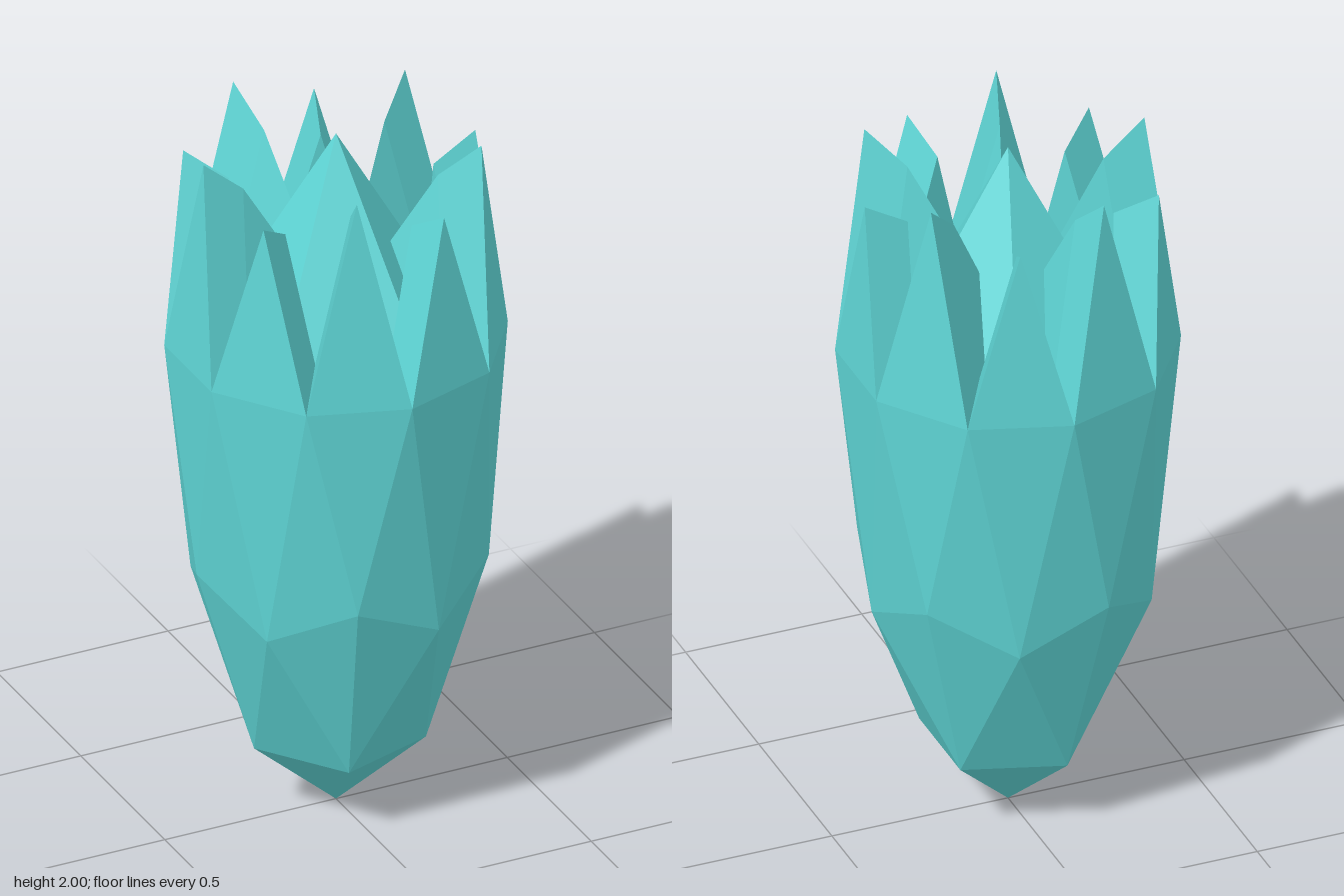
import * as THREE from 'three';
import { ConvexGeometry } from 'three/addons/geometries/ConvexGeometry.js';

const RADIUS = 0.455, RIM_Y = 1.4, STEP = Math.PI / 5;

// point at a given angle (in 36 degree steps), radius and height
const polar = (step, r, y) =>
  new THREE.Vector3(r * Math.cos(step * STEP), y, r * Math.sin(step * STEP));

export function createModel() {
  const group = new THREE.Group();
  const material = new THREE.MeshStandardMaterial({ color: 0x5fd6d6, flatShading: true });
  const add = (geometry, name, parent = group) => {
    const mesh = new THREE.Mesh(geometry, material);
    mesh.name = name;
    parent.add(mesh);
    return mesh;
  };

  // faceted lower body: half of a stretched, once-divided icosahedron
  const body = [new THREE.Vector3(0, 0, 0)];
  for (let i = 0; i < 10; i++) {
    const odd = i % 2 === 1;
    if (odd) body.push(polar(i, RADIUS * 0.526, 0.21));
    body.push(odd ? polar(i, RADIUS * 0.894, 0.774) : polar(i, RADIUS * 0.851, 0.663));
    body.push(polar(i + 0.5, RADIUS, RIM_Y));
  }
  add(new ConvexGeometry(body), 'body');

  // ten thick pointed petals, alternately short and tall
  const inward = (p) => new THREE.Vector3(p.x * 0.7, 1.67 + (p.y - 1.67) * 0.7, p.z * 0.7);
  const petals = new THREE.Group();
  petals.name = 'petals';
  group.add(petals);
  for (let i = 0; i < 10; i++) {
    const tall = i % 2 === 1;
    const outer = [
      tall ? polar(i, RADIUS * 0.851, 2) : polar(i, RADIUS * 0.894, 1.91),
      polar(i - 0.5, RADIUS, RIM_Y),
      polar(i + 0.5, RADIUS, RIM_Y),
    ];
    const inner = outer.map(inward);
    add(new ConvexGeometry([...outer, ...inner]), tall ? 'tallPetal' : 'shortPetal', petals);
    // tall petals run on as a ridge towards the middle
    if (tall) add(new ConvexGeometry([...inner, new THREE.Vector3(0, 1.45, 0)]), 'innerRidge', petals);
  }

  // five-sided spike in the middle of the crown
  const spike = add(new THREE.ConeGeometry(0.347, 0.6, 5, 1, true, Math.PI / 2), 'centreSpike');
  spike.position.y = RIM_Y + 0.3;

  return group;
}
